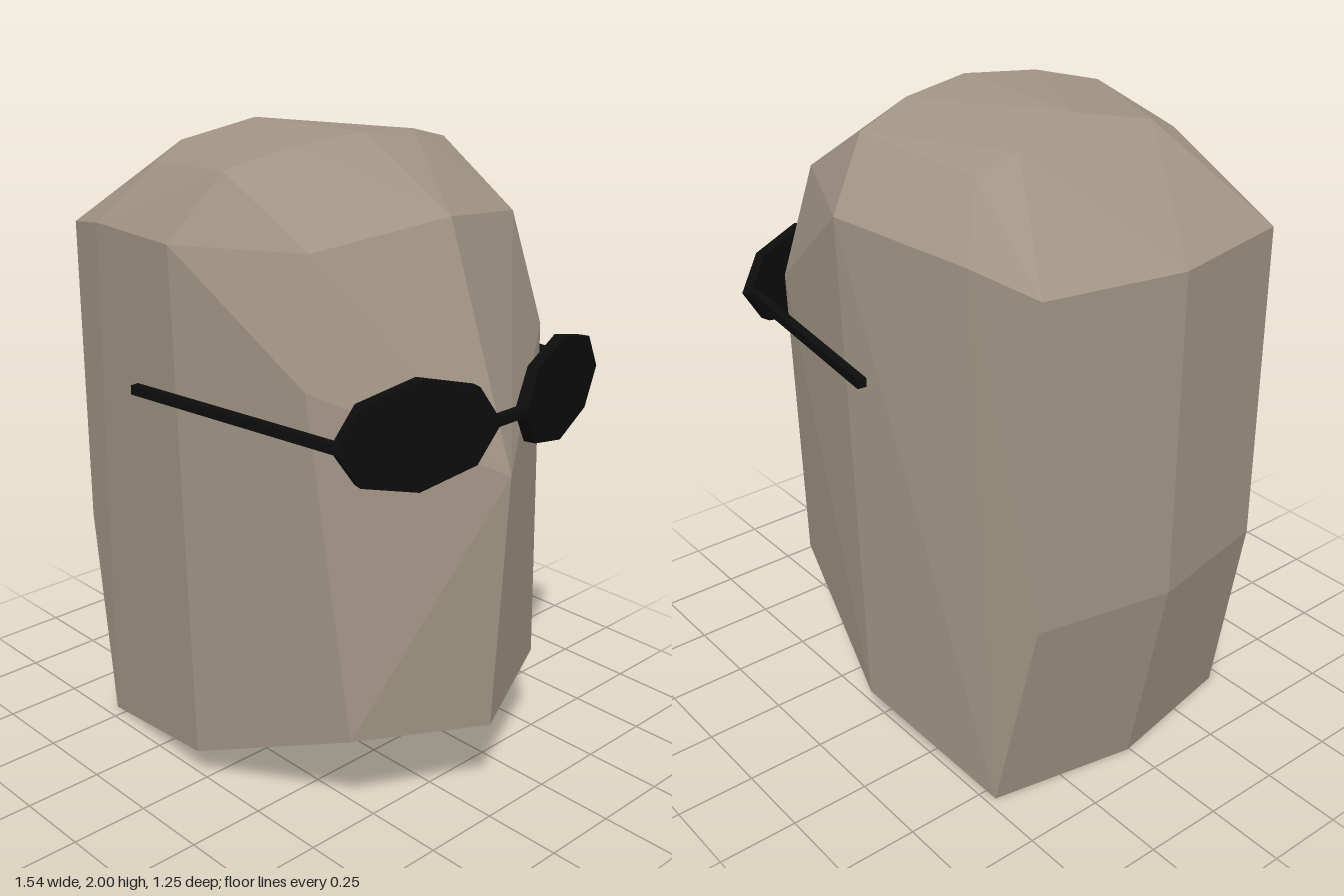
import * as THREE from 'three';
import { ConvexGeometry } from 'three/addons/geometries/ConvexGeometry.js';

const stone = new THREE.MeshStandardMaterial({ color: 0xa09484, flatShading: true });
const black = new THREE.MeshStandardMaterial({ color: 0x0c0c0c, flatShading: true });
const EYE = 1.295;

// Square bar between two points of the eye-level plane
function bar(name, x1, z1, x2, z2, t) {
  const length = Math.hypot(x2 - x1, z2 - z1);
  const mesh = new THREE.Mesh(new THREE.BoxGeometry(length, t, t), black);
  mesh.position.set((x1 + x2) / 2, EYE, (z1 + z2) / 2);
  mesh.rotation.y = -Math.atan2(z2 - z1, x2 - x1);
  mesh.name = name;
  return mesh;
}

// Faceted boulder head, the face looking towards +x
function createHead() {
  // Corners on the middle plane: x, y
  const middle = [
    [-0.635, 0], [0.22, 0.04], [0.73, 0.31], [0.765, 1.12],
    [0.51, 1.81], [0.17, 2], [-0.31, 1.99], [-0.77, 1.67], [-0.77, 0.67],
  ];
  // Corners mirrored to both sides: x, y, z
  const sides = [
    [-0.545, 0, 0.465], [0, 0.11, 0.54], [0.55, 0.34, 0.405],
    [0.45, 1.4, 0.487], [0.385, 1.75, 0.41], [0, 1.737, 0.585],
    [-0.47, 1.71, 0.493], [-0.685, 1.67, 0.425], [-0.685, 0.67, 0.425],
    [0.07, 1.93, 0.44], [0.13, 1.98, 0.24], [-0.37, 1.94, 0.24], [-0.34, 1.89, 0.36],
  ];
  const points = middle.map(([x, y]) => new THREE.Vector3(x, y, 0));
  for (const [x, y, z] of sides) {
    points.push(new THREE.Vector3(x, y, z), new THREE.Vector3(x, y, -z));
  }
  const head = new THREE.Mesh(new ConvexGeometry(points), stone);
  head.position.z = -0.007;
  head.name = 'head';
  return head;
}

// Sunglasses with octagonal lenses, swept back at the sides
function createSunglasses() {
  const glasses = new THREE.Group();
  glasses.name = 'sunglasses';
  for (const s of [1, -1]) {
    const side = s > 0 ? 'left' : 'right';
    const lens = new THREE.Mesh(
      new THREE.CylinderGeometry(1, 1, 0.035, 8).rotateZ(-Math.PI / 2).scale(1, 0.158, 0.256),
      black
    );
    lens.position.set(0.682, EYE, s * 0.292);
    lens.rotation.y = -s * 0.27;
    lens.name = side + 'Lens';
    glasses.add(lens);
    glasses.add(bar(side + 'Temple', -0.14, s * 0.613, 0.62, s * 0.515, 0.028));
  }
  glasses.add(bar('bridge', 0.748, -0.06, 0.748, 0.06, 0.028));
  glasses.position.z = -0.004;
  return glasses;
}

export function createModel() {
  const model = new THREE.Group();
  model.name = 'stoneHead';
  model.add(createHead(), createSunglasses());
  return model;
}
